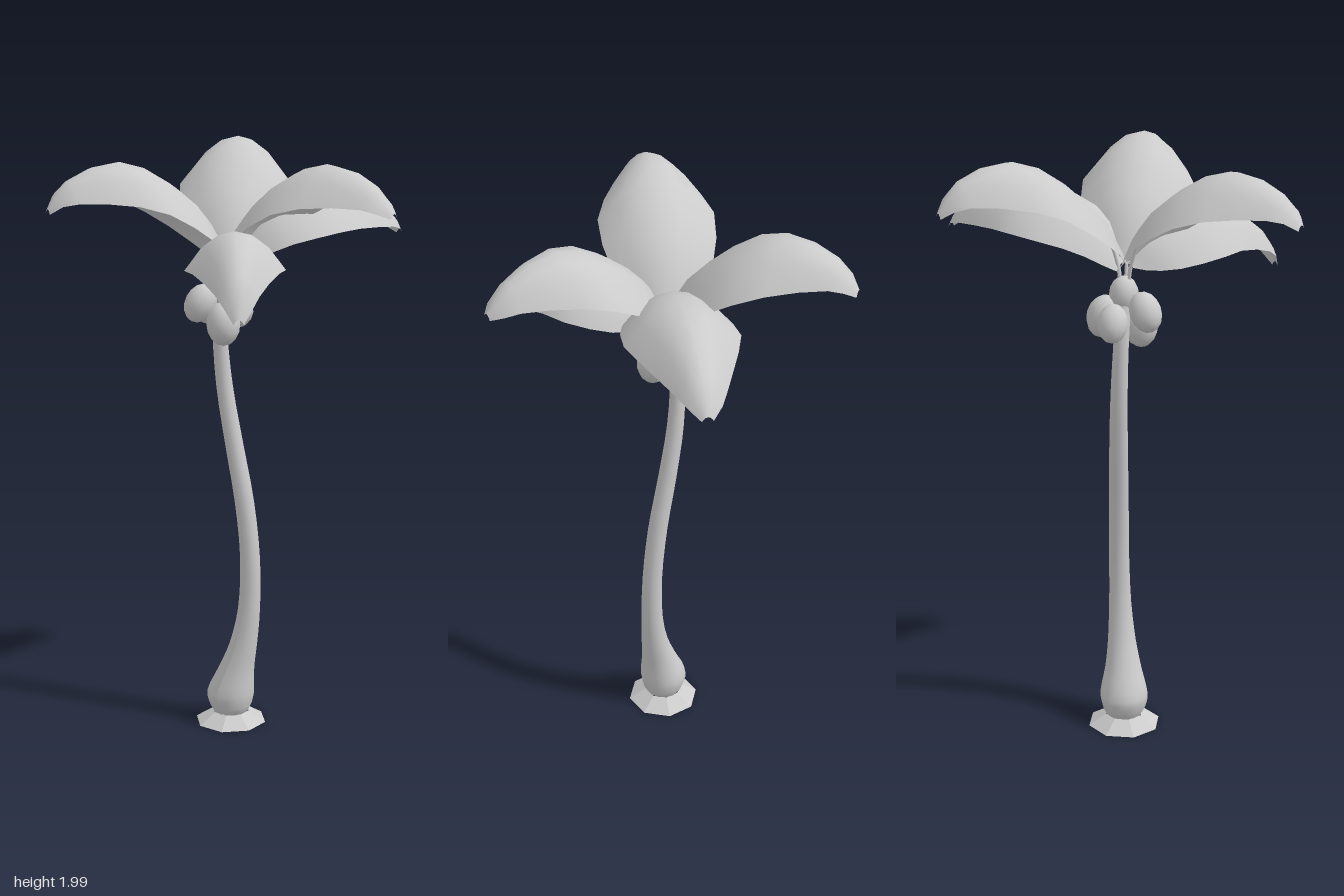
import * as THREE from 'three';

const grey = new THREE.MeshStandardMaterial({ color: 0xcccccc });
const thin = new THREE.MeshStandardMaterial({ color: 0xcccccc, side: THREE.DoubleSide });
const faceted = new THREE.MeshStandardMaterial({ color: 0xcccccc, side: THREE.DoubleSide, flatShading: true });

const V = (x, y, z) => new THREE.Vector3(x, y, z);

function add(parent, name, geometry, material = grey) {
  const mesh = new THREE.Mesh(geometry, material);
  mesh.name = name;
  parent.add(mesh);
  return mesh;
}

// Smooth value at t (0..1) of a list of [position, value] knots
function sample(knots, t) {
  let i = 0;
  while (i < knots.length - 2 && t > knots[i + 1][0]) i++;
  const [a, b] = [knots[i], knots[i + 1]];
  const slope = (k) => {
    const p = knots[Math.max(k - 1, 0)], q = knots[Math.min(k + 1, knots.length - 1)];
    return (q[1] - p[1]) / (q[0] - p[0]);
  };
  const d = b[0] - a[0], s = (t - a[0]) / d, s2 = s * s, s3 = s2 * s;
  return a[1] * (2 * s3 - 3 * s2 + 1) + slope(i) * d * (s3 - 2 * s2 + s)
    + b[1] * (3 * s2 - 2 * s3) + slope(i + 1) * d * (s3 - s2);
}

// Bent trunk: an open cylinder whose rings follow [x, y, z, radius] stations
function trunkGeometry() {
  const stations = [
    [-0.14, 0.035, 0.025, 0.06], [-0.14, 0.06, 0.025, 0.073], [-0.14, 0.11, 0.025, 0.082],
    [-0.118, 0.2, 0.02, 0.062], [-0.094, 0.29, 0.012, 0.048], [-0.075, 0.42, 0.004, 0.038],
    [-0.073, 0.6, 0, 0.034], [-0.095, 0.8, 0.002, 0.033], [-0.135, 1.0, 0.006, 0.031],
    [-0.17, 1.2, 0.012, 0.028], [-0.18, 1.38, 0.02, 0.025], [-0.165, 1.5, 0.025, 0.024],
    [-0.145, 1.58, 0.027, 0.017],
  ];
  const path = new THREE.CatmullRomCurve3(stations.map(([x, y, z]) => V(x, y, z)));
  const radii = stations.map((s, i) => [i / (stations.length - 1), s[3]]);
  const geometry = new THREE.CylinderGeometry(1, 1, 1, 14, 36, true);
  const pos = geometry.attributes.position;
  for (let i = 0; i < pos.count; i++) {
    const t = THREE.MathUtils.clamp(pos.getY(i) + 0.5, 0, 1);
    const c = path.getPoint(t), r = sample(radii, t);
    pos.setXYZ(i, c.x + pos.getX(i) * r, c.y, c.z + pos.getZ(i) * r);
  }
  geometry.computeVertexNormals();
  return geometry;
}

// Frond outline shared by all: half width and edge droop along its length
const HALF_WIDTH = [[0, 0.045], [0.1, 0.113], [0.2, 0.157], [0.32, 0.178], [0.46, 0.183], [0.6, 0.153],
  [0.75, 0.112], [0.88, 0.075], [0.95, 0.052], [1, 0.018]];
const DROOP = [[0, 0.02], [0.1, 0.085], [0.3, 0.118], [0.5, 0.125], [0.65, 0.12], [0.78, 0.095], [0.9, 0.06], [1, 0.015]];
const STEPS = [0, 0.1, 0.2, 0.43, 0.65, 0.87, 0.95, 1];
const ROWS = [0, 0.05, 0.11, 0.2, 0.32, 0.46, 0.6, 0.75, 0.88, 0.95, 1];

// Base and tip as x, z, width factor and the midrib heights at STEPS
const FRONDS = [
  { base: [-0.12, 0.032], tip: [0.51, 0.035], wide: 1, rib: [1.64, 1.77, 1.84, 1.945, 1.975, 1.925, 1.88, 1.84] },
  { base: [-0.12, 0.02], tip: [0.135, -0.59], wide: 1, rib: [1.63, 1.745, 1.8, 1.845, 1.84, 1.775, 1.73, 1.68] },
  { base: [-0.13, 0.015], tip: [-0.485, -0.497], wide: 1.05, rib: [1.65, 1.77, 1.84, 1.955, 1.995, 1.955, 1.91, 1.86] },
  { base: [-0.15, 0.035], tip: [-0.42, 0.59], wide: 1.05, rib: [1.64, 1.76, 1.835, 1.94, 1.975, 1.93, 1.89, 1.84] },
  { base: [-0.12, 0.03], tip: [0.25, 0.487], wide: 0.88, rib: [1.64, 1.7, 1.73, 1.768, 1.765, 1.68, 1.62, 1.55] },
];

function buildFrond({ base, tip, wide, rib }) {
  const frond = new THREE.Group();
  frond.name = 'frond';
  const knots = STEPS.map((u, i) => [u, rib[i]]);
  const along = V(tip[0] - base[0], 0, tip[1] - base[1]);
  const side = V(-along.z, 0, along.x).normalize().multiplyScalar(wide);
  const ribPoint = (u) => V(base[0], 0, base[1]).addScaledVector(along, u).setY(sample(knots, u));

  // Arched blade: a grid with u along the midrib and s across it
  const blade = new THREE.PlaneGeometry(2, 1, 6, ROWS.length - 1);
  const pos = blade.attributes.position;
  for (let i = 0; i < pos.count; i++) {
    const s = pos.getX(i), u = ROWS[ROWS.length - 1 - Math.floor(i / 7)];
    const p = ribPoint(u).addScaledVector(side, s * sample(HALF_WIDTH, u));
    pos.setXYZ(i, p.x, p.y - sample(DROOP, u) * Math.abs(s) ** 2.1, p.z);
  }
  blade.computeVertexNormals();
  add(frond, 'blade', blade, thin);

  // Short stalk rising from the crown and ending just under the blade
  const root = V(-0.145, 1.54, 0.027).addScaledVector(along, 0.02);
  const stalk = [root, root.clone().lerp(ribPoint(0.04), 0.6)];
  for (const u of [0.08, 0.14]) stalk.push(ribPoint(u).add(V(0, -0.02, 0)));
  add(frond, 'stalk', new THREE.TubeGeometry(new THREE.CatmullRomCurve3(stalk), 12, 0.006, 6));
  return frond;
}

export function createModel() {
  const palm = new THREE.Group();
  palm.name = 'palmTree';

  // Octagonal skirt at the foot
  const skirt = add(palm, 'groundSkirt', new THREE.CylinderGeometry(0.064, 0.124, 0.038, 8, 1, true), faceted);
  skirt.position.set(-0.14, 0.019, 0.025);
  skirt.rotation.y = Math.PI / 8;

  add(palm, 'trunk', trunkGeometry(), thin);

  // Coconuts clustered below the crown: x, y, z, lean about x, lean about z, size
  const nuts = [
    [-0.125, 1.425, 0.075, -0.1, 0.1, 1.03], [-0.155, 1.46, -0.04, 0.25, 0.05, 1],
    [-0.237, 1.46, 0, 0, -0.5, 0.9], [-0.2, 1.49, 0.1, -0.4, -0.3, 0.95],
    [-0.145, 1.53, 0.025, 0, 0, 0.88],
  ];
  for (const [x, y, z, leanX, leanZ, size] of nuts) {
    const nut = add(palm, 'coconut', new THREE.SphereGeometry(1, 12, 8));
    nut.scale.set(0.055, 0.071, 0.055).multiplyScalar(size);
    nut.position.set(x, y, z);
    nut.rotation.set(leanX, 0, leanZ);
  }

  for (const spec of FRONDS) palm.add(buildFrond(spec));
  return palm;
}
